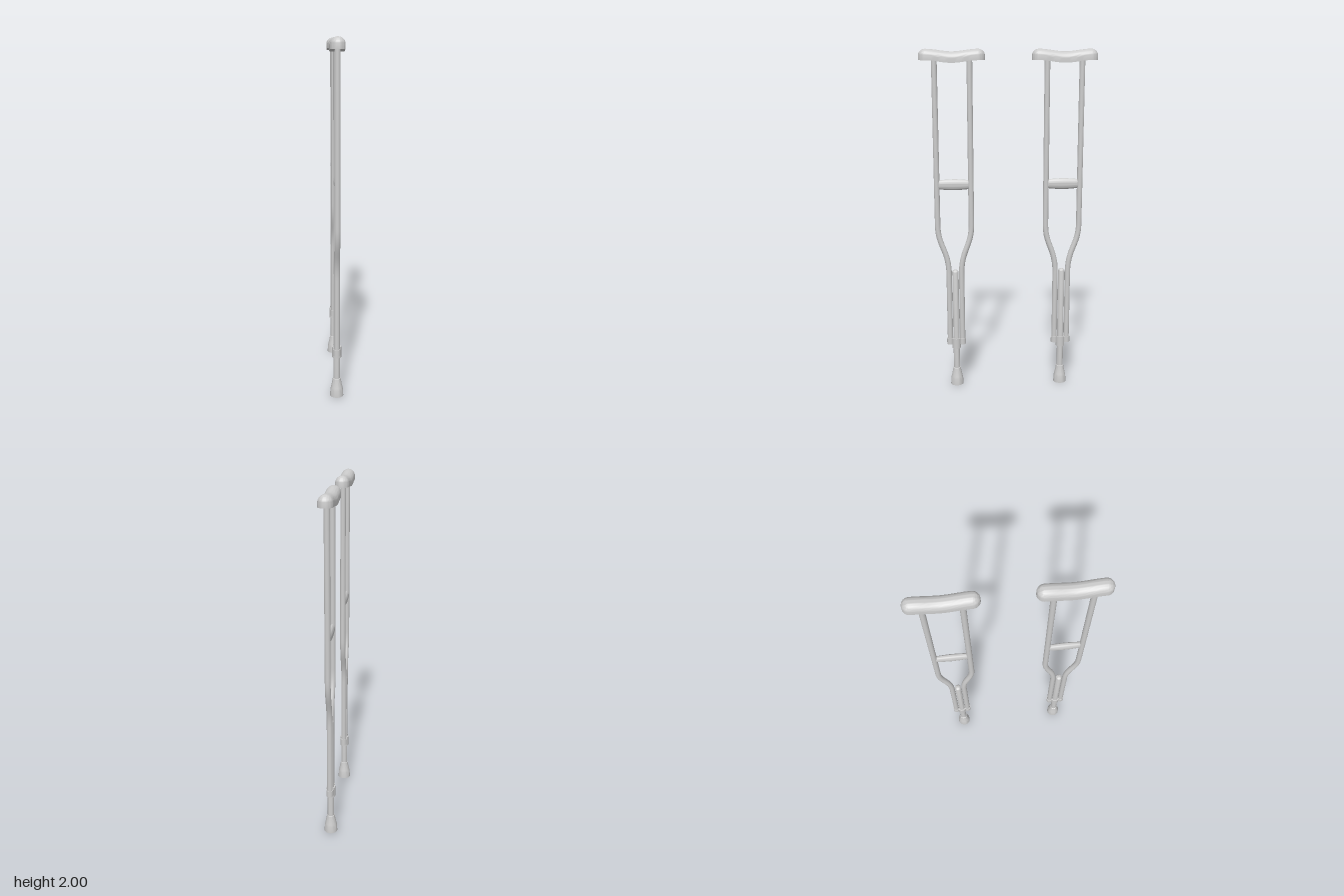
import * as THREE from 'three';
import { toCreasedNormals } from 'three/addons/utils/BufferGeometryUtils.js';

const grey = new THREE.MeshStandardMaterial({ color: 0xcccccc });

function add(parent, name, geometry, y = 0, z = 0) {
  const mesh = new THREE.Mesh(geometry, grey);
  mesh.name = name;
  mesh.position.set(0, y, z);
  parent.add(mesh);
  return mesh;
}

function lathe(points, segments = 32) {
  const profile = points.map(([r, y]) => new THREE.Vector2(r, y));
  return toCreasedNormals(new THREE.LatheGeometry(profile, segments), 0.6);
}

// Underarm pad: a domed profile swept round a stadium outline, sagging in the middle
function padGeometry() {
  const radius = 0.039, half = 0.146, wall = 0.023, sag = 0.014;
  const profile = [[0, 0], [radius, 0], [radius, wall]];
  for (let i = 1; i <= 10; i++) {
    const a = (i / 10) * Math.PI / 2;
    profile.push([radius * Math.cos(a), wall + 0.038 * Math.sin(a)]);
  }
  // Each outline station: spine position and outward angle
  const n = 16, stations = [];
  for (const side of [0, 1]) {
    const s = side ? -1 : 1;
    for (let i = 0; i < n; i++) stations.push([s * half * (2 * i / n - 1), side * Math.PI]);
    for (let i = 0; i < n; i++) stations.push([s * half, (side + i / n) * Math.PI]);
  }
  stations.push(stations[0]);

  const cols = stations.length, rows = profile.length;
  const geo = new THREE.PlaneGeometry(1, 1, cols - 1, rows - 1);
  const pos = geo.attributes.position;
  for (let row = 0; row < rows; row++) {
    for (let col = 0; col < cols; col++) {
      const [r, y] = profile[row], [spine, a] = stations[col];
      const z = spine + r * Math.sin(a);
      const t = Math.min(1, Math.abs(z) / half);
      const dip = sag * (1 + Math.cos(Math.PI * t)) / 2;
      pos.setXYZ(row * cols + col, r * Math.cos(a), y - dip, z);
    }
  }
  return toCreasedNormals(geo, 0.7);
}

// Side tube: straight at the top, curving inward to run beside the centre tube
function sideTubeGeometry(side) {
  const p = (y, off) => new THREE.Vector3(0, y, side * off);
  const path = new THREE.CurvePath();
  path.add(new THREE.LineCurve3(p(1.95, 0.098), p(1.0, 0.098)));
  path.add(new THREE.CubicBezierCurve3(p(1.0, 0.098), p(0.87, 0.098), p(0.85, 0.037), p(0.7, 0.037)));
  path.add(new THREE.LineCurve3(p(0.7, 0.037), p(0.27, 0.037)));
  return new THREE.TubeGeometry(path, 90, 0.016, 20);
}

function createCrutch(name) {
  const crutch = new THREE.Group();
  crutch.name = name;

  add(crutch, 'underarmPad', padGeometry(), 1.939);

  for (const side of [-1, 1]) {
    add(crutch, side > 0 ? 'frontSideTube' : 'backSideTube', sideTubeGeometry(side));
    add(crutch, 'clampLobe', new THREE.CylinderGeometry(0.02, 0.02, 0.036, 24), 0.278, side * 0.037);
  }

  // Hand grip: flattened, slightly swollen bar between the side tubes
  const gripProfile = [[0, -0.088], [0.022, -0.088], [0.026, -0.084]];
  for (let i = 0; i <= 12; i++) {
    const z = -0.08 + 0.16 * i / 12;
    gripProfile.push([0.027 + 0.005 * Math.cos(z / 0.08 * Math.PI / 2), z]);
  }
  gripProfile.push([0.026, 0.084], [0.022, 0.088], [0, 0.088]);
  const grip = lathe(gripProfile);
  grip.rotateX(Math.PI / 2);
  grip.scale(0.55, 1, 1);
  add(crutch, 'handGrip', grip, 1.239);

  // Adjustable centre tube with a softly domed top
  add(crutch, 'centreTube', lathe([
    [0, 0.08], [0.019, 0.08], [0.019, 0.714], [0.017, 0.72], [0.011, 0.725], [0, 0.727],
  ]));
  add(crutch, 'clampCollar', new THREE.CylinderGeometry(0.026, 0.026, 0.062, 32), 0.266);

  // Flared rubber foot
  add(crutch, 'footTip', lathe([
    [0, 0], [0.038, 0], [0.036, 0.04], [0.033, 0.052], [0.028, 0.075],
    [0.024, 0.095], [0.0225, 0.105], [0.019, 0.107],
  ]));
  return crutch;
}

export function createModel() {
  const model = new THREE.Group();
  model.name = 'crutchPair';
  for (const side of [-1, 1]) {
    const crutch = createCrutch(side > 0 ? 'frontCrutch' : 'backCrutch');
    crutch.position.z = side * 0.315;
    model.add(crutch);
  }
  return model;
}
